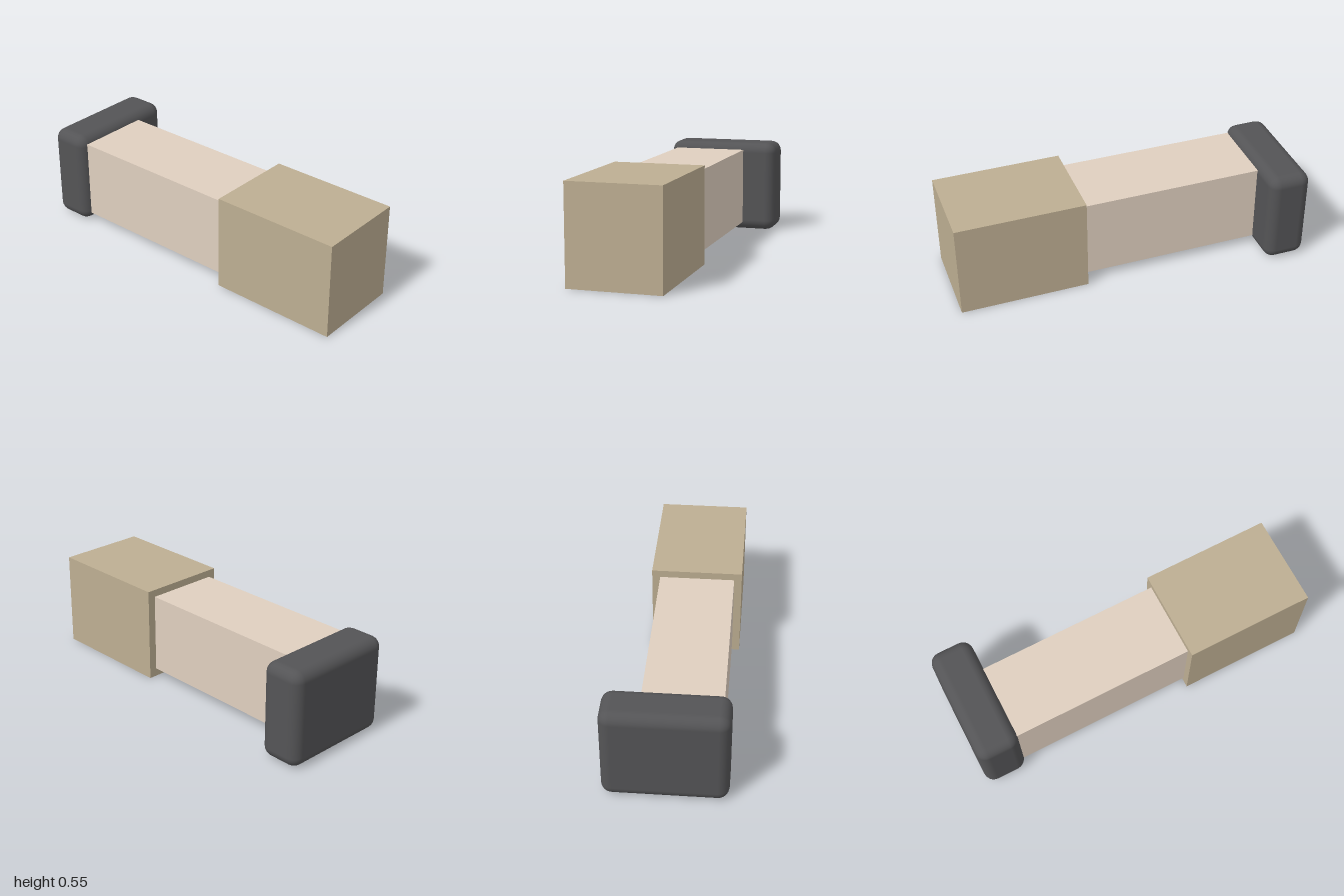
import * as THREE from 'three';
import { RoundedBoxGeometry } from 'three/addons/geometries/RoundedBoxGeometry.js';

// Adds a part spanning two opposite corners; a radius rounds its edges.
function addPart(group, name, color, min, max, radius = 0) {
  const size = max.map((v, i) => v - min[i]);
  const geometry = radius
    ? new RoundedBoxGeometry(...size, 3, radius)
    : new THREE.BoxGeometry(...size);
  const mesh = new THREE.Mesh(geometry, new THREE.MeshStandardMaterial({ color }));
  mesh.name = name;
  mesh.position.set(...min.map((v, i) => (v + max[i]) / 2));
  group.add(mesh);
}

export function createModel() {
  const model = new THREE.Group();
  model.name = 'limb';

  // Wide block at the front end
  addPart(model, 'sleeve', 0xbdae92, [-0.333, 0, 0.272], [0.181, 0.545, 1]);
  // Slimmer shaft, slightly inset from the sleeve on every side
  addPart(model, 'shaft', 0xdfcfbf, [-0.29, 0.047, -0.8], [0.135, 0.503, 0.3]);
  // Rounded end piece, extending to one side
  addPart(model, 'roundedEnd', 0x545456, [-0.333, 0, -1], [0.333, 0.545, -0.758], 0.06);

  return model;
}
